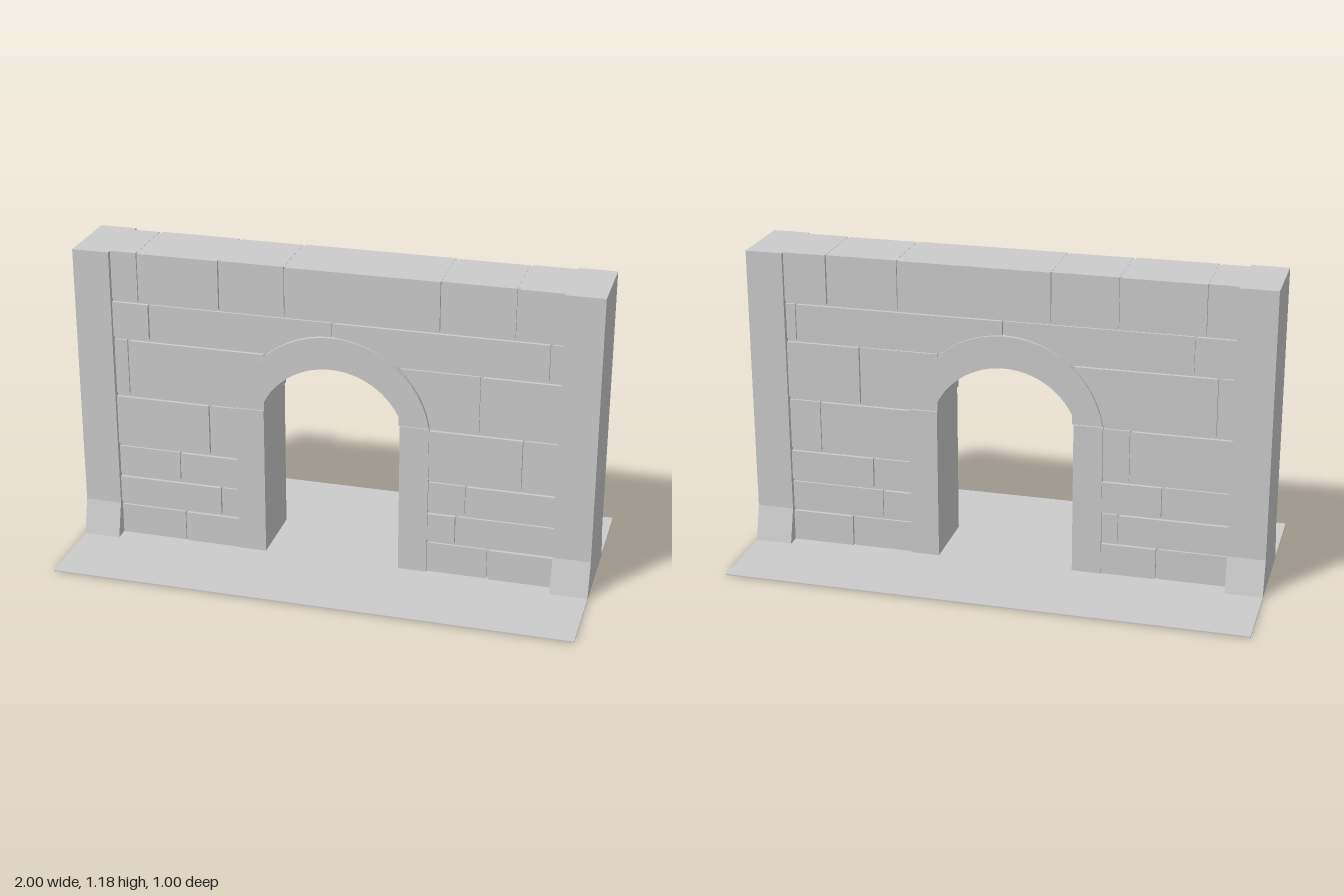
import * as THREE from 'three';

const material = new THREE.MeshStandardMaterial({ color: 0xcccccc, flatShading: true });
const HEIGHT = 1.18;

function add(parent, name, geometry) {
  const mesh = new THREE.Mesh(geometry, material);
  mesh.name = name;
  parent.add(mesh);
  return mesh;
}

// Box given by its x and y limits, centred on z
function block(parent, name, x0, x1, y0, y1, halfDepth) {
  const mesh = add(parent, name, new THREE.BoxGeometry(x1 - x0, y1 - y0, halfDepth * 2));
  mesh.position.set((x0 + x1) / 2, (y0 + y1) / 2, 0);
}

function extrude(shape, depth) {
  return new THREE.ExtrudeGeometry(shape, { depth, bevelEnabled: false, curveSegments: 24 })
    .translate(0, 0, -depth / 2);
}

// Circular arc from (halfWidth, spring) over the crown to the other side
function archPoints(halfWidth, spring, crown, count = 24) {
  const rise = crown - spring;
  const radius = (halfWidth ** 2 + rise ** 2) / (2 * rise);
  const centre = crown - radius;
  const start = Math.atan2(spring - centre, halfWidth);
  return Array.from({ length: count + 1 }, (_, i) => {
    const a = start + (Math.PI - 2 * start) * (i / count);
    return new THREE.Vector2(radius * Math.cos(a), centre + radius * Math.sin(a));
  });
}

export function createModel() {
  const model = new THREE.Group();
  model.name = 'archedWall';

  // Ground slab
  block(model, 'ground', -1, 1, 0, 0.005, 0.5);

  // Recessed wall core, seen in the joints between the stones
  const core = new THREE.Shape([
    new THREE.Vector2(-0.9, 0), new THREE.Vector2(-0.31, 0),
    ...archPoints(0.31, 0.62, 0.86).reverse(),
    new THREE.Vector2(0.31, 0), new THREE.Vector2(0.9, 0),
    new THREE.Vector2(0.9, HEIGHT - 0.001), new THREE.Vector2(-0.9, HEIGHT - 0.001),
  ]);
  add(model, 'wallCore', extrude(core, 0.24));

  // Stone courses: bottom, top, then runs of [start, end, joints between]
  const courses = [
    [0, 0.127, [-0.86, -0.37, -0.59], [0.37, 0.86, 0.61]],
    [0.14, 0.25, [-0.86, -0.37, -0.44], [0.37, 0.86, 0.485]],
    [0.264, 0.38, [-0.86, -0.37, -0.605], [0.37, 0.86, 0.52]],
    [0.393, 0.592, [-0.86, -0.37, -0.48], [0.37, 0.86, 0.73]],
    [0.605, 0.827, [-0.86, -0.262, -0.8], [0.262, 0.86, 0.565]],
    [0.84, 0.979, [-0.86, 0.86, -0.71, 0.005, 0.815]],
    [0.99, HEIGHT, [-0.86, 0.86, -0.75, -0.43, -0.177, 0.41, 0.687]],
  ];
  const stones = new THREE.Group();
  stones.name = 'stoneCourses';
  model.add(stones);
  courses.forEach(([y0, y1, ...runs], row) => {
    for (const [start, end, ...joints] of runs) {
      const edges = [start, ...joints, end];
      for (let i = 0; i < edges.length - 1; i++) {
        const x0 = edges[i] + (i > 0 ? 0.005 : 0);
        const x1 = edges[i + 1] - (i < edges.length - 2 ? 0.005 : 0);
        block(stones, 'stone', x0, x1, y0, y1, (i + row) % 2 ? 0.133 : 0.128);
      }
    }
  });

  // Arch ring with short straight feet
  const ring = new THREE.Shape([
    new THREE.Vector2(0.26, 0.605),
    ...archPoints(0.375, 0.605, 0.925),
    new THREE.Vector2(-0.26, 0.605),
    ...archPoints(0.26, 0.64, 0.8).reverse(),
  ]);
  add(model, 'archRing', extrude(ring, 0.284));

  for (const side of [-1, 1]) {
    // Door jambs
    const [a, b] = [0.264 * side, 0.375 * side].sort((p, q) => p - q);
    block(model, 'jamb', a, b, 0, 0.6, 0.137);

    // End pillars with a flared foot, swept along x
    const profile = new THREE.Shape([
      new THREE.Vector2(-0.185, 0), new THREE.Vector2(0.185, 0),
      new THREE.Vector2(0.147, 0.14), new THREE.Vector2(0.147, HEIGHT),
      new THREE.Vector2(-0.147, HEIGHT), new THREE.Vector2(-0.147, 0.14),
    ]);
    const pillar = add(model, 'endPillar', extrude(profile, 0.143).rotateY(Math.PI / 2));
    pillar.position.x = side * 0.9285;
  }
  return model;
}
